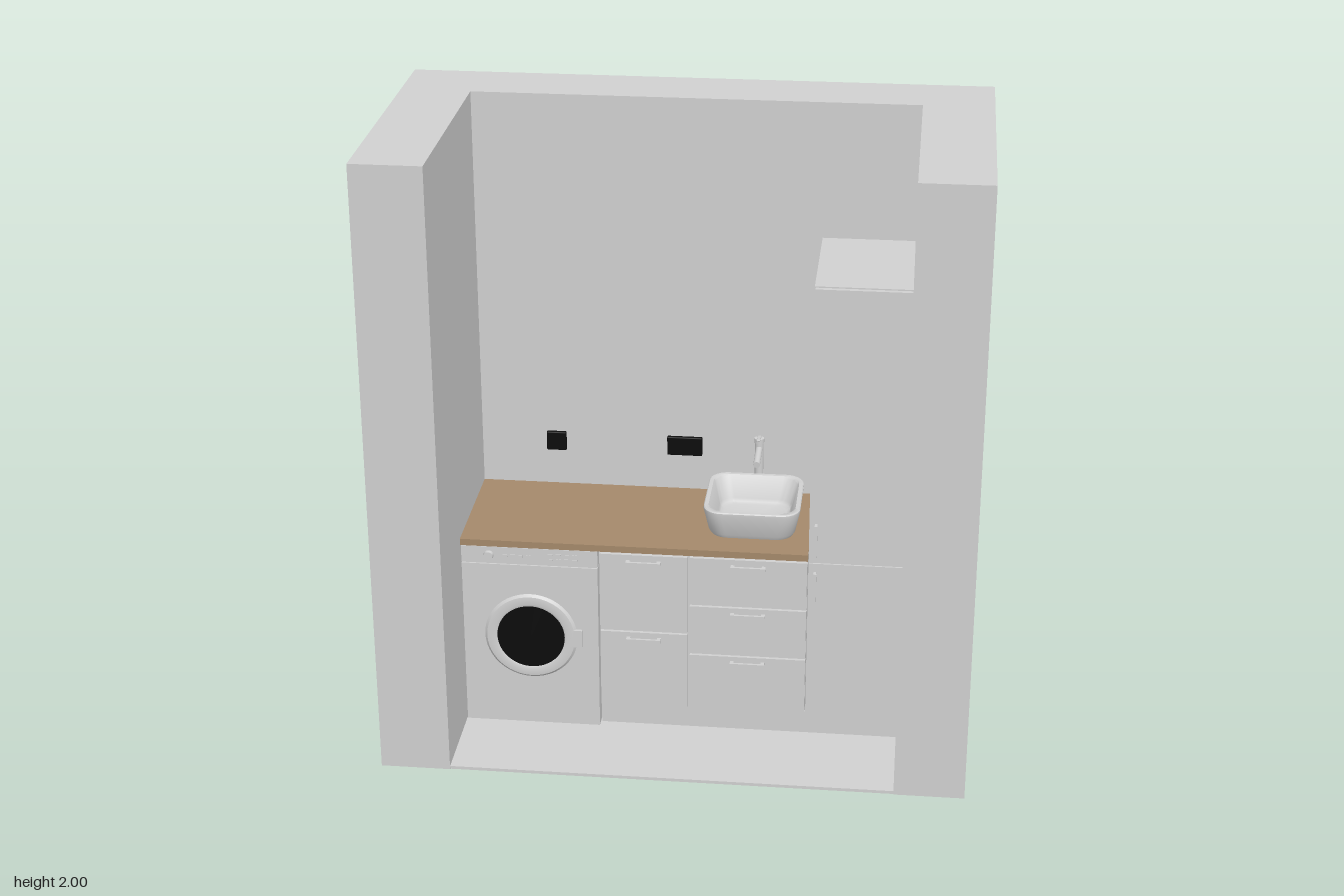
import * as THREE from 'three';
import { toCreasedNormals } from 'three/addons/utils/BufferGeometryUtils.js';
import { RoundedBoxGeometry } from 'three/addons/geometries/RoundedBoxGeometry.js';

const material = (name, color) => {
  const m = new THREE.MeshStandardMaterial({ color });
  m.name = name;
  return m;
};

export function createModel() {
  const grey = material('paleGrey', 0xd0d0d0);
  const wood = material('wood', 0xa4896b);
  const black = material('black', 0x0c0c0c);
  const model = new THREE.Group();

  const add = (name, geometry, mat = grey, x = 0, y = 0, z = 0, parent = model) => {
    const mesh = new THREE.Mesh(geometry, mat);
    mesh.name = name;
    mesh.position.set(x, y, z);
    parent.add(mesh);
    return mesh;
  };
  // Box given by its limits on each axis
  const block = (name, [x0, x1], [y0, y1], [z0, z1], mat = grey, parent = model) =>
    add(name, new THREE.BoxGeometry(x1 - x0, y1 - y0, z1 - z0), mat,
      (x0 + x1) / 2, (y0 + y1) / 2, (z0 + z1) / 2, parent);
  const group = (name) => {
    const g = new THREE.Group();
    g.name = name;
    model.add(g);
    return g;
  };

  // Alcove: U-shaped wall and floor
  const plan = new THREE.Shape([
    [-0.92, 0.48], [-0.92, -0.48], [-0.7, -0.48], [-0.7, 0.26],
    [0.7, 0.26], [0.7, -0.48], [0.92, -0.48], [0.92, 0.48],
  ].map(([x, y]) => new THREE.Vector2(x, y)));
  const wall = new THREE.ExtrudeGeometry(plan, { depth: 2, bevelEnabled: false });
  add('walls', wall.rotateX(-Math.PI / 2));
  block('floor', [-0.7, 0.7], [0, 0.01], [-0.26, 0.477]);

  // Worktop
  block('worktop', [-0.7, 0.403], [0.645, 0.667], [-0.26, 0.182], wood);

  // Cabinet bodies and plinth
  block('plinth', [-0.258, 0.7], [0.01, 0.088], [-0.26, 0.155]);
  block('drawerCarcass', [-0.258, 0.402], [0.088, 0.645], [-0.26, 0.165]);
  block('tallCarcass', [0.404, 0.7], [0.088, 1.56], [-0.26, 0.165]);

  // Bar handle on two short posts
  const handle = (x, y, vertical) => {
    const g = group('handle');
    g.position.set(x, y, 0.18);
    if (vertical) g.rotation.z = Math.PI / 2;
    block('handleBar', [-0.055, 0.055], [-0.005, 0.005], [0.012, 0.02], grey, g);
    for (const s of [-0.049, 0.049])
      block('handlePost', [s - 0.006, s + 0.006], [-0.004, 0.004], [0, 0.014], grey, g);
  };

  // Drawer fronts
  const drawers = [
    [-0.256, 0.024, [[0.09, 0.36, 0.34], [0.366, 0.637, 0.615]]],
    [0.031, 0.401, [[0.09, 0.289, 0.27], [0.295, 0.465, 0.445], [0.471, 0.637, 0.615]]],
  ];
  for (const [x0, x1, rows] of drawers)
    for (const [y0, y1, hy] of rows) {
      block('drawerFront', [x0, x1], [y0, y1], [0.16, 0.18]);
      handle((x0 + x1) / 2, hy);
    }

  // Tall cabinet doors
  block('lowerDoor', [0.407, 0.698], [0.09, 0.638], [0.16, 0.18]);
  block('upperDoor', [0.407, 0.698], [0.641, 1.556], [0.16, 0.18]);
  handle(0.426, 0.555, true);
  handle(0.426, 0.722, true);

  // Washing machine
  const washer = group('washingMachine');
  block('washerBody', [-0.698, -0.262], [0.01, 0.582], [-0.25, 0.18], grey, washer);
  block('controlPanel', [-0.698, -0.262], [0.585, 0.643], [-0.25, 0.18], grey, washer);
  const ring = new THREE.LatheGeometry([
    [0.108, 0], [0.11, 0.008], [0.118, 0.011], [0.142, 0.008], [0.15, 0],
  ].map(([r, y]) => new THREE.Vector2(r, y)).reverse(), 48);
  add('doorRing', toCreasedNormals(ring.rotateX(Math.PI / 2), 0.6), grey, -0.48, 0.33, 0.18, washer);
  const glass = new THREE.CylinderGeometry(0.109, 0.109, 0.008, 48).rotateX(Math.PI / 2);
  add('doorGlass', glass, black, -0.48, 0.33, 0.184, washer);
  block('doorCatch', [-0.342, -0.314], [0.3, 0.36], [0.18, 0.19], grey, washer);
  const knob = new THREE.CylinderGeometry(0.014, 0.016, 0.01, 24).rotateX(Math.PI / 2);
  add('programmeKnob', knob, grey, -0.61, 0.614, 0.185, washer);
  for (let i = 0; i < 4; i++)
    block('smallButton', [-0.565 + i * 0.025, -0.55 + i * 0.025], [0.609, 0.619], [0.18, 0.183], grey, washer);
  for (let i = 0; i < 8; i++) {
    const x = -0.42 + (i % 4) * 0.026, y = i < 4 ? 0.605 : 0.622;
    block('panelButton', [x, x + 0.016], [y, y + 0.005], [0.18, 0.183], grey, washer);
  }

  // Wall sockets
  for (const [x, w] of [[-0.453, 0.065], [-0.03, 0.115]])
    add('socket', new RoundedBoxGeometry(w, 0.065, 0.014, 2, 0.004), black, x, 0.823, -0.254);

  // Basin: rounded-square rings, each [half width, corner radius, height]
  const rings = [
    [0.118, 0.05, 0.667], [0.131, 0.055, 0.671], [0.138, 0.058, 0.684], [0.153, 0.06, 0.757],
    [0.153, 0.06, 0.764], [0.15, 0.058, 0.767], [0.138, 0.05, 0.767], [0.134, 0.05, 0.763],
    [0.117, 0.045, 0.692], [0.111, 0.043, 0.682], [0.1, 0.04, 0.678],
    [0.025, 0.025, 0.676], [0.025, 0.025, 0.667],
  ];
  const per = 9, count = per * 4, points = [], index = [];
  for (const [h, r, y] of rings)
    for (let q = 0; q < 4; q++)
      for (let k = 0; k < per; k++) {
        const a = (q + k / (per - 1)) * Math.PI / 2;
        const sx = q === 0 || q === 3 ? 1 : -1, sz = q < 2 ? 1 : -1;
        points.push(sx * (h - r) + r * Math.cos(a), y, sz * (h - r) + r * Math.sin(a));
      }
  for (let i = 0; i < rings.length - 1; i++)
    for (let j = 0; j < count; j++) {
      const a = i * count + j, b = i * count + (j + 1) % count;
      index.push(a, a + count, b, b, a + count, b + count);
    }
  const basin = new THREE.BufferGeometry();
  basin.setAttribute('position', new THREE.Float32BufferAttribute(points, 3));
  basin.setIndex(index);
  add('basin', toCreasedNormals(basin, 0.7), grey, 0.216, 0, -0.037);

  // Tap: base, column, spout and lever
  const tap = group('tap');
  tap.position.set(0.216, 0, -0.228);
  const tube = (name, r, y0, y1) =>
    add(name, new THREE.CylinderGeometry(r, r, y1 - y0, 24), grey, 0, (y0 + y1) / 2, 0, tap);
  tube('tapBase', 0.02, 0.667, 0.675);
  tube('tapColumn', 0.014, 0.675, 0.86);
  tube('tapCap', 0.016, 0.86, 0.875);
  const spout = add('spout', new THREE.CylinderGeometry(0.011, 0.011, 0.11, 20), grey, 0, 0.835, 0.055, tap);
  spout.rotation.x = Math.PI / 2 + 0.1;
  const lever = add('lever', new RoundedBoxGeometry(0.012, 0.007, 0.055, 2, 0.003), grey, 0, 0.881, 0.018, tap);
  lever.rotation.x = -0.15;

  return model;
}
